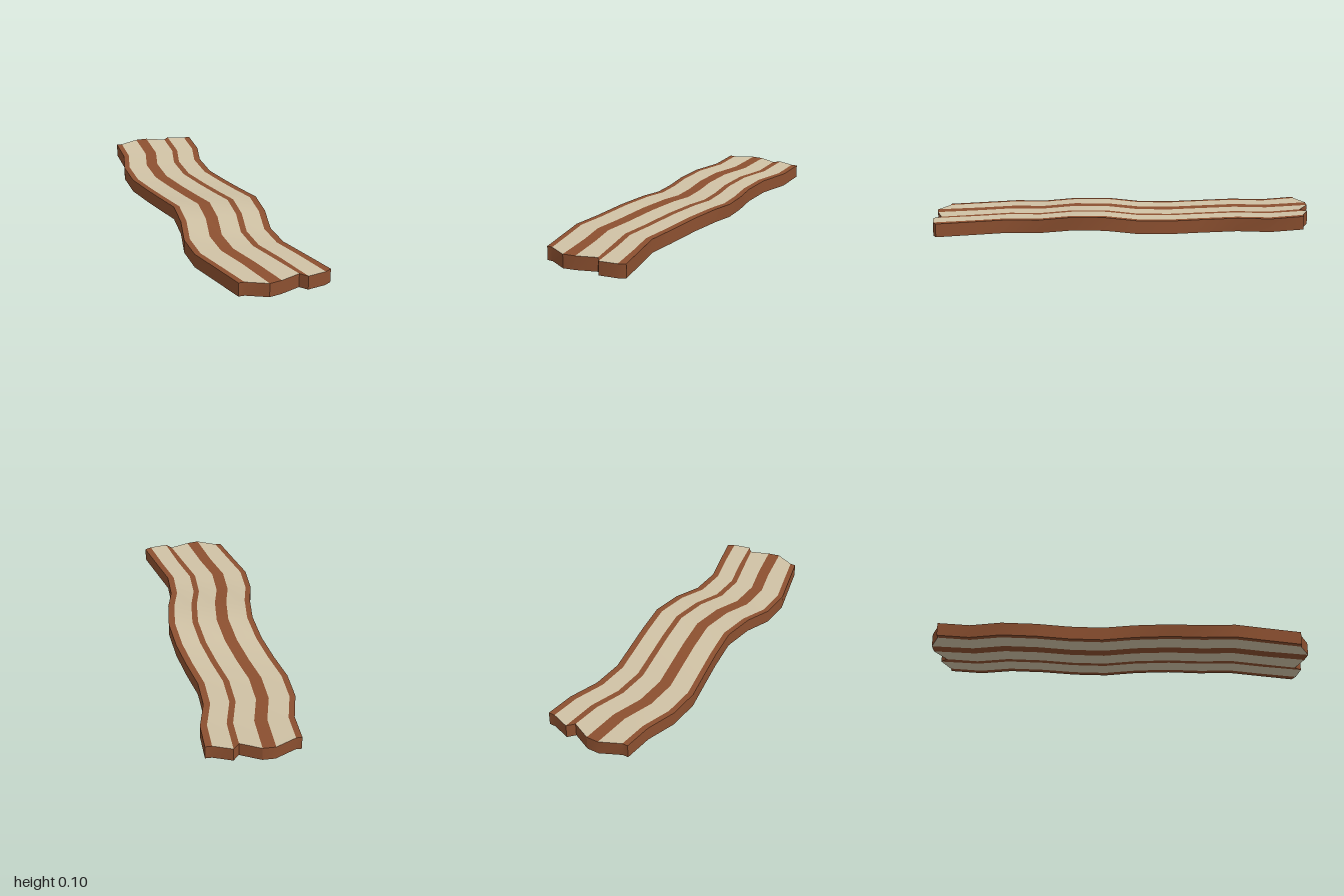
import * as THREE from 'three';
import { toCreasedNormals } from 'three/addons/utils/BufferGeometryUtils.js';

// Wavy path: [z, left edge x, underside y] from back to front
const PATH = [
  [-0.95, -0.26, 0.03], [-0.78, -0.26, 0.015], [-0.61, -0.30, 0.008], [-0.43, -0.297, 0],
  [-0.26, -0.26, 0], [-0.09, -0.227, 0.008], [0.08, -0.208, 0.029], [0.26, -0.225, 0.024],
  [0.43, -0.26, 0], [0.6, -0.26, 0], [0.77, -0.212, 0], [0.95, -0.162, 0],
];
// Stripe borders across the width, and how far each border juts out at the ragged ends
const ACROSS = [0, 0.03, 0.134, 0.198, 0.3, 0.331, 0.426, 0.46];
const BACK_JUT = [0, 0, 0.05, 0.05, 0, 0.035, 0, 0];
const FRONT_JUT = [0, 0, 0.05, 0.038, 0, 0.037, 0.02, 0];
const THICK = 0.07;
const LAST = PATH.length - 1;
const EDGE = ACROSS.length - 1;

// Point on the slab: i across, j along, h = 0 underside or 1 top
function point(i, j, h) {
  const [z, x, y] = PATH[j];
  const jut = j === 0 ? -BACK_JUT[i] : j === LAST ? FRONT_JUT[i] : 0;
  return [x + ACROSS[i], y + h * THICK, z + jut];
}

function quad(out, a, b, c, d) {
  for (const p of [a, b, c, a, c, d]) out.push(...p);
}

function makeMesh(name, positions, material) {
  const geometry = new THREE.BufferGeometry();
  geometry.setAttribute('position', new THREE.Float32BufferAttribute(positions, 3));
  geometry.computeVertexNormals();
  const mesh = new THREE.Mesh(toCreasedNormals(geometry, 0.45), material);
  mesh.name = name;
  return mesh;
}

export function createModel() {
  const group = new THREE.Group();
  group.name = 'baconStrip';
  const meat = new THREE.MeshStandardMaterial({ color: 0x8c5030 });
  meat.name = 'meat brown';
  const fat = new THREE.MeshStandardMaterial({ color: 0xd0c2a5 });
  fat.name = 'fat cream';

  // Alternating streaks of meat and fat, on the top and underside
  for (let i = 0; i < EDGE; i++) {
    const faces = [];
    for (let j = 0; j < LAST; j++) {
      quad(faces, point(i, j, 1), point(i, j + 1, 1), point(i + 1, j + 1, 1), point(i + 1, j, 1));
      quad(faces, point(i, j, 0), point(i + 1, j, 0), point(i + 1, j + 1, 0), point(i, j + 1, 0));
    }
    const isFat = i % 2 === 1;
    group.add(makeMesh(isFat ? 'fatStreak' : 'meatStreak', faces, isFat ? fat : meat));
  }

  // Long side walls
  const sides = [];
  for (let j = 0; j < LAST; j++) {
    quad(sides, point(0, j, 0), point(0, j + 1, 0), point(0, j + 1, 1), point(0, j, 1));
    quad(sides, point(EDGE, j + 1, 0), point(EDGE, j, 0), point(EDGE, j, 1), point(EDGE, j + 1, 1));
  }
  group.add(makeMesh('sideWalls', sides, meat));

  // Ragged end walls
  const ends = [];
  for (let i = 0; i < EDGE; i++) {
    quad(ends, point(i, LAST, 0), point(i + 1, LAST, 0), point(i + 1, LAST, 1), point(i, LAST, 1));
    quad(ends, point(i + 1, 0, 0), point(i, 0, 0), point(i, 0, 1), point(i + 1, 0, 1));
  }
  group.add(makeMesh('endWalls', ends, meat));

  return group;
}
